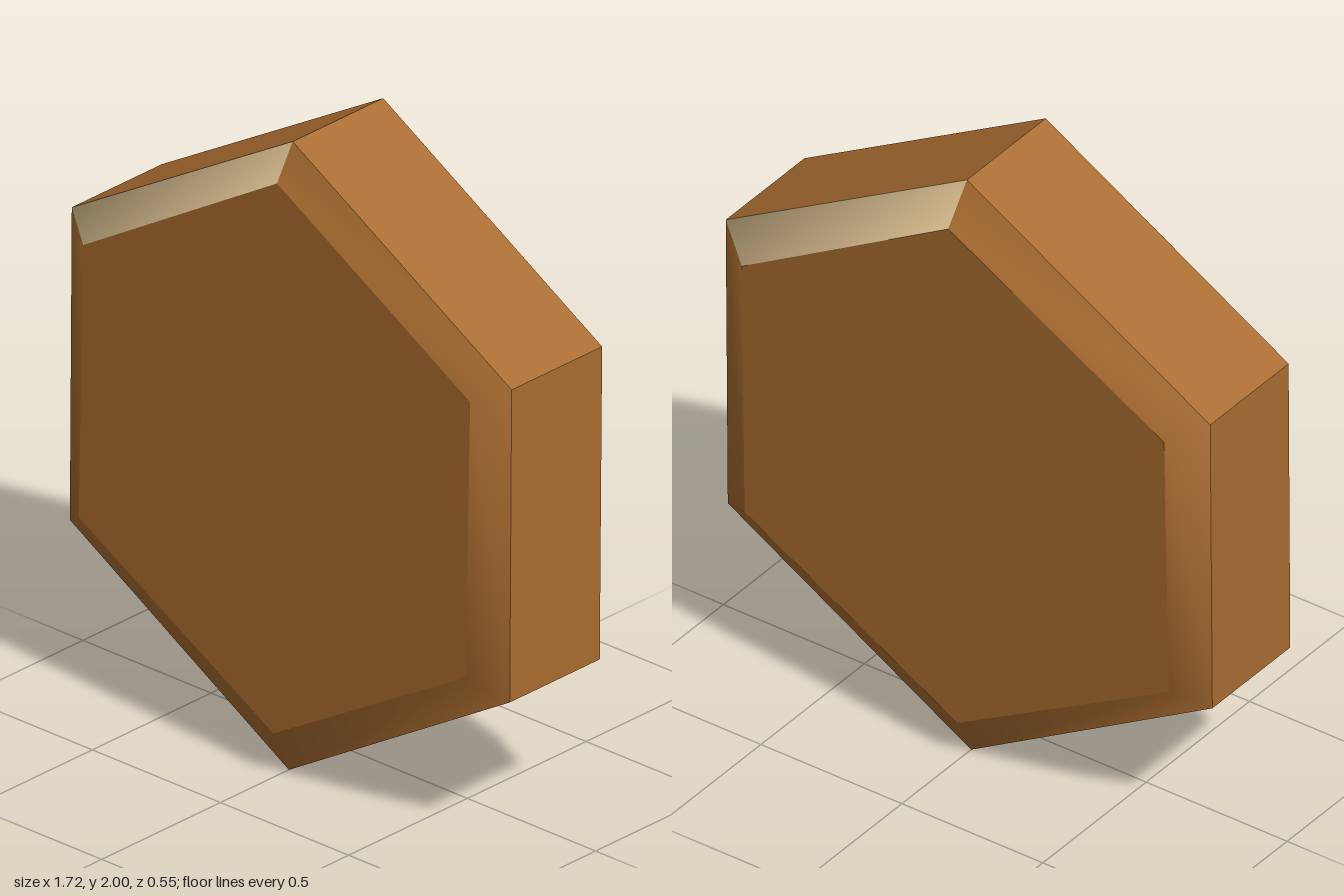
import * as THREE from 'three';

const wood = new THREE.MeshStandardMaterial({ color: 0xa96c30 });
wood.name = 'brown';
const cream = new THREE.MeshStandardMaterial({ color: 0xdabf90 });
cream.name = 'cream';

// Six corners, clockwise from the top, lying on a slightly tilted plane
function ring(corners, z, slopeX, slopeY) {
  return corners.map(([x, y]) => [x, y, z + slopeX * x + slopeY * (y - 1)]);
}

// Band of six panels between two rings; panel `pale` gets the second material
function band(a, b, pale = -1) {
  const geo = new THREE.BufferGeometry();
  geo.setAttribute('position', new THREE.Float32BufferAttribute([...a, ...b].flat(), 3));
  const index = [];
  for (let i = 0; i < 6; i++) {
    const j = (i + 1) % 6;
    index.push(i, i + 6, j, i + 6, j + 6, j);
    geo.addGroup(i * 6, 6, i === pale ? 1 : 0);
  }
  geo.setIndex(index);
  geo.computeVertexNormals();
  return geo;
}

// Flat hexagonal face as a fan
function cap(points, front) {
  const geo = new THREE.BufferGeometry();
  geo.setAttribute('position', new THREE.Float32BufferAttribute(points.flat(), 3));
  const index = [];
  for (let i = 1; i < 5; i++) index.push(0, ...(front ? [i + 1, i] : [i, i + 1]));
  geo.setIndex(index);
  geo.computeVertexNormals();
  return geo;
}

export function createModel() {
  const group = new THREE.Group();
  group.name = 'hexagonalTile';

  const outline = [[0, 2], [0.862, 1.5], [0.862, 0.505], [0, 0], [-0.862, 0.505], [-0.862, 1.5]];
  const frontInset = [[0, 1.89], [0.76, 1.45], [0.75, 0.57], [0, 0.14], [-0.765, 0.57], [-0.755, 1.44]];
  const backInset = [[0, 1.88], [0.743, 1.435], [0.75, 0.56], [0, 0.13], [-0.76, 0.56], [-0.76, 1.445]];

  const backFace = ring(backInset, -0.253, 0.004, -0.026);
  const backRim = ring(outline, -0.175, 0.004, -0.01);
  const frontRim = ring(outline, 0.204, 0.005, -0.008);
  const frontFace = ring(frontInset, 0.27, 0.004, -0.009);

  const add = (name, geo, material) => {
    const mesh = new THREE.Mesh(geo, material);
    mesh.name = name;
    group.add(mesh);
  };

  // Flat side walls
  const walls = band(backRim, frontRim).toNonIndexed();
  walls.clearGroups();
  walls.computeVertexNormals();
  add('sideWalls', walls, wood);

  // Smooth bevels, each with one pale panel
  add('frontBevel', band(frontRim, frontFace, 5), [wood, cream]);
  add('backBevel', band(backFace, backRim, 0), [wood, cream]);

  // Front and back faces
  add('frontFace', cap(frontFace, true), wood);
  add('backFace', cap(backFace, false), wood);

  return group;
}
